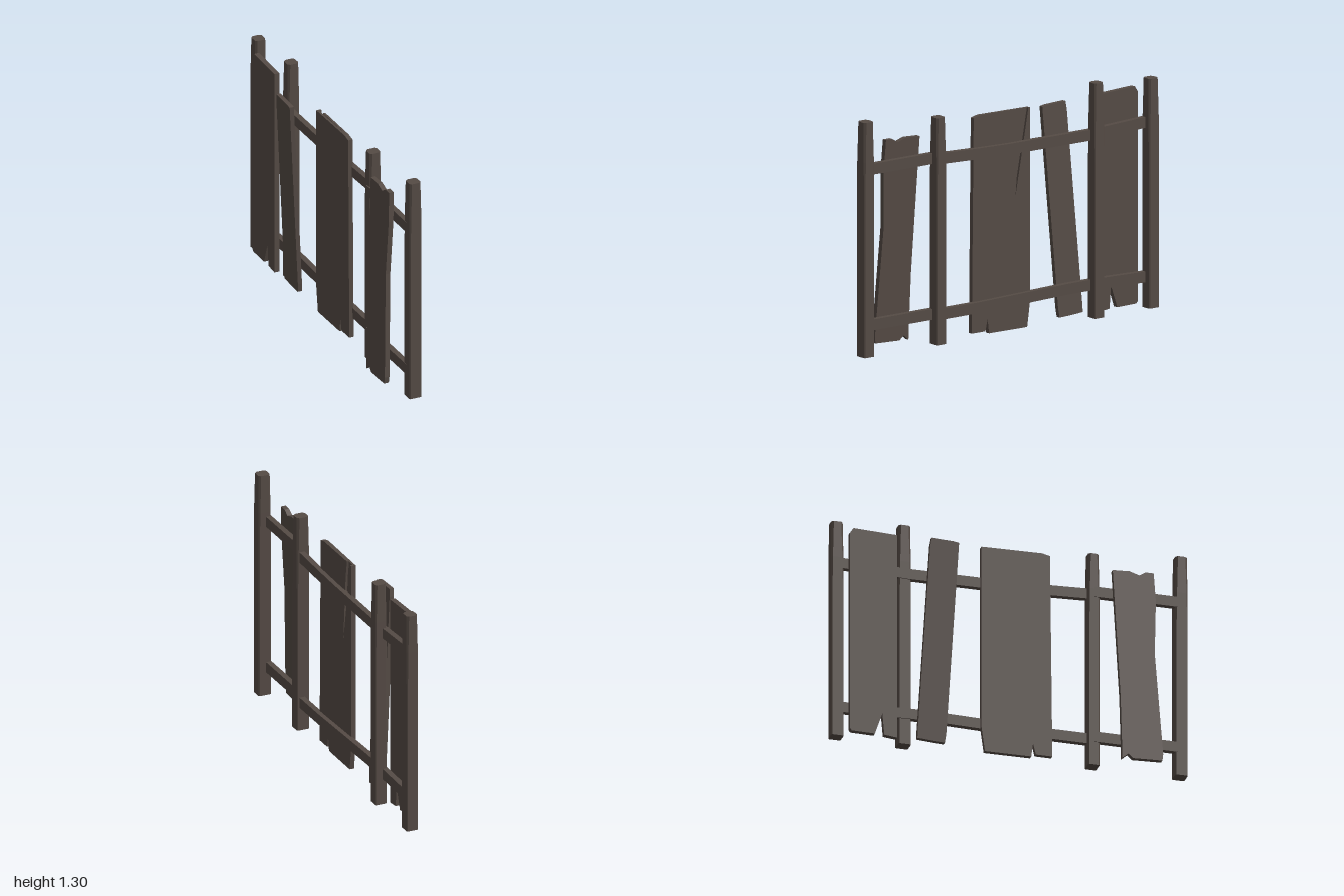
import * as THREE from 'three';

const wood = new THREE.MeshStandardMaterial({ color: 0x554b45 });
wood.name = 'weatheredWood';

// Flat plank from a [z, y] outline; back face at x = xBottom (y 0) leaning to xTop (y 1.2)
function plank(name, outline, thickness, xBottom, xTop = xBottom) {
  const shape = new THREE.Shape(outline.map(([z, y]) => new THREE.Vector2(-z, y)));
  const geo = new THREE.ExtrudeGeometry(shape, { depth: thickness, bevelEnabled: false });
  geo.rotateY(Math.PI / 2);
  const p = geo.attributes.position;
  for (let i = 0; i < p.count; i++) {
    p.setX(i, p.getX(i) + xBottom + (xTop - xBottom) * p.getY(i) / 1.2);
  }
  geo.computeVertexNormals();
  const mesh = new THREE.Mesh(geo, wood);
  mesh.name = name;
  return mesh;
}

// Square post with hewn corners that are cut wider towards the top
function post(name, x, z, height, w, d) {
  let geo = new THREE.CylinderGeometry(1, 1, height, 8, 6);
  const p = geo.attributes.position;
  for (let i = 0; i < p.count; i++) {
    const px = p.getX(i), pz = p.getZ(i);
    const t = p.getY(i) / height + 0.5;
    if (Math.hypot(px, pz) > 0.5) {
      const k = ((Math.round(Math.atan2(pz, px) / (Math.PI / 4)) % 8) + 8) % 8;
      const c = t > 0.99 ? 0.64 : t > 0.8 ? 0.76 : 0.84;
      const s = t > 0.99 ? 0.92 : 1;
      const [ux, uz] = [[1, -c], [1, c], [c, 1], [-c, 1], [-1, c], [-1, -c], [-c, -1], [c, -1]][k];
      p.setXYZ(i, ux * s * w / 2, p.getY(i), uz * s * d / 2);
    }
  }
  geo.translate(x, height / 2, z);
  geo = geo.toNonIndexed();
  geo.computeVertexNormals();
  const mesh = new THREE.Mesh(geo, wood);
  mesh.name = name;
  return mesh;
}

// Rail following [z, centre height] points
function rail(name, line, x) {
  const upper = line.map(([z, y]) => [z, y + 0.03]);
  const lower = line.map(([z, y]) => [z, y - 0.03]).reverse();
  return plank(name, [...upper, ...lower], 0.032, x);
}

export function createModel() {
  const fence = new THREE.Group();
  fence.name = 'brokenFence';

  // Posts
  [
    [0.018, 0.965, 1.305, 0.074, 0.07],
    [0.022, 0.472, 1.26, 0.074, 0.068],
    [0.055, -0.585, 1.305, 0.07, 0.07],
    [0.047, -0.965, 1.275, 0.068, 0.07],
  ].forEach((a, i) => fence.add(post('post' + (i + 1), ...a)));

  // Rails, stepped at the second post
  fence.add(
    rail('upperRailShort', [[0.96, 1.03], [0.47, 1.03]], -0.02),
    rail('lowerRailShort', [[0.96, 0.165], [0.47, 0.165]], -0.02),
    rail('upperRailLong', [[0.47, 1.03], [0.2, 1.02], [0, 1.015], [-0.57, 1.013], [-0.95, 1.03]], 0.014),
    rail('lowerRailLong', [[0.47, 0.165], [0.2, 0.165], [0, 0.17], [-0.4, 0.18], [-0.57, 0.18], [-0.95, 0.17]], 0.014),
  );

  // Leaning board with a chipped top
  fence.add(plank('chippedBoard', [
    [0.80, 1.17], [0.755, 1.17], [0.72, 1.147], [0.665, 1.165], [0.57, 1.16], [0.572, 1.12],
    [0.605, 0.4], [0.61, 0.09], [0.61, 0.025], [0.645, 0.055], [0.67, 0.03],
    [0.835, 0.037], [0.84, 0.075], [0.80, 0.68], [0.81, 1.0],
  ], 0.028, -0.092, -0.042));

  // Wide central board: full back layer, split front layer
  const right = [[-0.16, 1.22], [-0.16, 0.15], [-0.14, 0.003], [0.12, 0.005],
    [0.13, 0.085], [0.145, 0.02], [0.238, 0.02], [0.225, 1.215], [0.18, 1.225]];
  fence.add(
    plank('wideBoardBack', right, 0.013, -0.006),
    plank('wideBoardFront', [[-0.105, 1.225], [-0.09, 1.13], [-0.06, 0.74], [-0.148, 1.221], ...right], 0.013, 0.007),
  );

  // Narrow board leaning outwards
  fence.add(plank('narrowBoard', [
    [-0.31, 1.185], [-0.34, 1.19], [-0.468, 1.195], [-0.475, 1.15], [-0.525, 0.06], [-0.525, 0.028],
    [-0.43, 0.022], [-0.367, 0.02], [-0.36, 0.07],
  ], 0.025, -0.012, -0.092));

  // End board with a split foot
  fence.add(plank('splitBoard', [
    [-0.64, 1.22], [-0.885, 1.23], [-0.905, 1.2], [-0.905, 0.035], [-0.895, 0.022], [-0.765, 0.02],
    [-0.723, 0.145], [-0.712, 0.02], [-0.64, 0.012],
  ], 0.03, -0.018));

  return fence;
}
